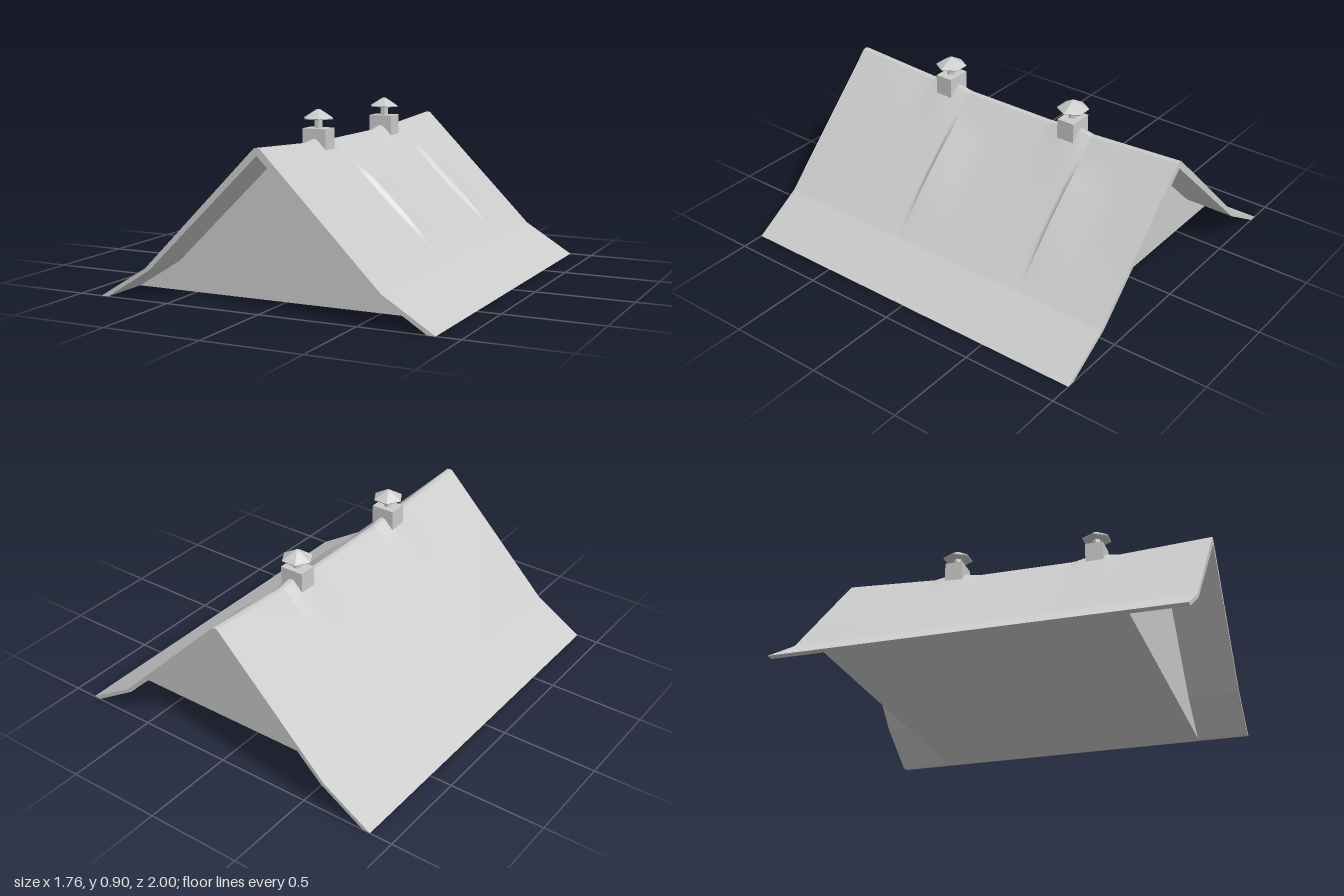
import * as THREE from 'three';

const grey = new THREE.MeshStandardMaterial({ color: 0xcccccc, side: THREE.DoubleSide });
const greyFlat = new THREE.MeshStandardMaterial({ color: 0xcccccc, side: THREE.DoubleSide, flatShading: true });

const EAVE = 0.88, BREAK = 0.62, BREAK_Y = 0.16, RIDGE = 0.015, GABLE_Z = 0.73;
const CHIMNEYS = [0.39, -0.385];
const STEPS = [0.255, -0.51];
const clamp = THREE.MathUtils.clamp;
const smooth = THREE.MathUtils.smoothstep;

// Height surface over a grid of x and z values, facing up
function surface(xs, zs, height) {
  const pos = [], index = [], n = zs.length;
  for (const x of xs) for (const z of zs) pos.push(x, height(x, z), z);
  for (let i = 0; i < xs.length - 1; i++) {
    for (let j = 0; j < n - 1; j++) {
      const a = i * n + j, b = a + n;
      index.push(a, a + 1, b, b, a + 1, b + 1);
    }
  }
  const g = new THREE.BufferGeometry();
  g.setAttribute('position', new THREE.Float32BufferAttribute(pos, 3));
  g.setIndex(index);
  g.computeVertexNormals();
  return g;
}

// Sagging ridge line
function ridgeHeight(z) {
  const a = Math.abs(z);
  return a > 0.5 ? 0.74 + 0.028 * (a - 0.5) / 0.5 : 0.734 + 0.006 * smooth(a, 0.25, 0.5);
}

// Slope with swellings round the chimneys and stepped raised patches on one side
function roofHeight(x, z) {
  const a = Math.abs(x);
  const t = (BREAK - a) / (BREAK - RIDGE);
  let y = BREAK_Y + t * (ridgeHeight(z) - BREAK_Y);
  for (const c of CHIMNEYS) {
    const d = Math.abs(z - c);
    y += 0.014 * clamp(1 - a / 0.24, 0, 1) * clamp((0.12 - d) / 0.06, 0, 1);
  }
  for (const s of STEPS) {
    if (z > s + 0.001 || x < 0) continue;
    const across = smooth(x, 0.08, 0.26) * (1 - smooth(x, 0.36, 0.61));
    y += 0.026 * across * clamp((z - s + 0.22) / 0.2, 0, 1);
  }
  return y;
}

function flatPanel(points, z) {
  const g = new THREE.ShapeGeometry(new THREE.Shape(points.map(p => new THREE.Vector2(...p))));
  if (z < 0) g.rotateY(Math.PI);
  return g.translate(0, 0, z);
}

export function createModel() {
  const model = new THREE.Group();
  const add = (name, geometry, material = grey, parent = model) => {
    const m = new THREE.Mesh(geometry, material);
    m.name = name;
    parent.add(m);
    return m;
  };

  // Grid lines, with a close pair of lines at each step
  const zs = STEPS.flatMap(s => [s, s + 0.003]);
  for (let i = 0; i <= 50; i++) {
    const z = -1 + i * 0.04;
    if (STEPS.every(s => Math.abs(z - s) > 0.008)) zs.push(z);
  }
  zs.sort((a, b) => a - b);
  const xs = [];
  for (let i = 0; i <= 24; i++) xs.push(RIDGE + (BREAK - RIDGE) * i / 24);

  // Roof covering
  add('leftSlope', surface(xs, zs, roofHeight));
  add('rightSlope', surface(xs.map(x => -x).reverse(), zs, roofHeight));
  add('ridgeCap', surface([-RIDGE, 0, RIDGE], zs, (x, z) => roofHeight(RIDGE, z) + (x === 0 ? 0.004 : 0)));
  const flare = x => BREAK_Y * (EAVE - Math.abs(x)) / (EAVE - BREAK);
  add('leftFlare', surface([BREAK, EAVE], [-1, 1], flare));
  add('rightFlare', surface([-EAVE, -BREAK], [-1, 1], flare));

  // Gable ends, overhang undersides and rake edges
  const inner = [[-0.84, 0], [-0.6, 0.15], [0, 0.735], [0.6, 0.15], [0.84, 0]];
  const top = roofHeight(RIDGE, 1);
  const outer = [[EAVE, 0], [BREAK, BREAK_Y], [RIDGE, top], [0, top + 0.004],
    [-RIDGE, top], [-BREAK, BREAK_Y], [-EAVE, 0]];
  const innerY = new Map(inner);
  for (const [end, s] of [['front', 1], ['back', -1]]) {
    add(end + 'Gable', flatPanel(inner, s * GABLE_Z));
    add(end + 'RakeEdge', flatPanel([...inner, ...outer], s));
    const span = s > 0 ? [GABLE_Z, 1] : [-1, -GABLE_Z];
    add(end + 'Soffit', surface(inner.map(p => p[0]), span, x => innerY.get(x)), greyFlat);
  }

  // Underside
  add('base', new THREE.PlaneGeometry(1.68, 2 * GABLE_Z).rotateX(Math.PI / 2));
  for (const s of [1, -1]) {
    add('eaveEdge', new THREE.PlaneGeometry(0.04, 2).rotateX(Math.PI / 2).translate(s * 0.86, 0, 0));
  }

  // Chimneys with posts and hexagonal caps
  for (const z of CHIMNEYS) {
    const chimney = new THREE.Group();
    chimney.name = 'chimney';
    chimney.position.z = z;
    add('stack', new THREE.BoxGeometry(0.128, 0.107, 0.096).translate(0, 0.7515, 0), greyFlat, chimney);
    const hex = (r1, r2, h, y) => new THREE.CylinderGeometry(r1, r2, h, 6).rotateY(Math.PI / 6).translate(0, y, 0);
    add('post', hex(0.022, 0.022, 0.06, 0.83), greyFlat, chimney);
    add('cap', hex(0.01, 0.08, 0.042, 0.876), greyFlat, chimney);
    add('capRim', hex(0.08, 0.078, 0.005, 0.8525), greyFlat, chimney);
    model.add(chimney);
  }
  return model;
}
